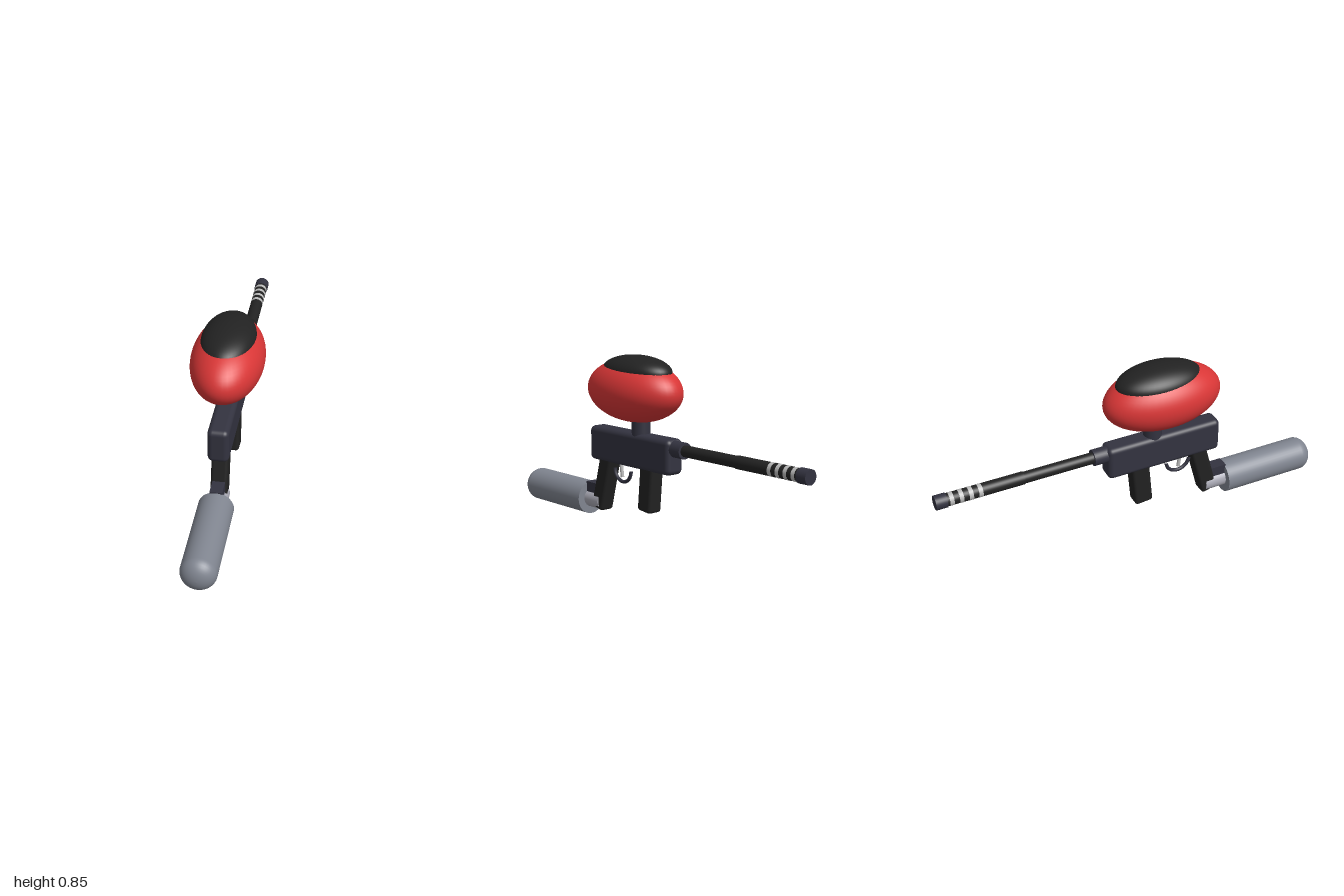
import * as THREE from 'three';
import { RoundedBoxGeometry } from 'three/addons/geometries/RoundedBoxGeometry.js';

const material = (name, color) => {
  const m = new THREE.MeshStandardMaterial({ color });
  m.name = name;
  return m;
};

export function createModel() {
  const group = new THREE.Group();
  const red = material('red', 0xd93636);
  const black = material('black', 0x222222);
  const gunmetal = material('gunmetal', 0x333340);
  const tankGrey = material('tank grey', 0x808590);
  const silver = material('silver', 0xa9a9b4);
  const lightGrey = material('light grey', 0xbcbcbc);

  const add = (name, geometry, mat, x, y, z) => {
    const mesh = new THREE.Mesh(geometry, mat);
    mesh.name = name;
    mesh.position.set(x, y, z);
    group.add(mesh);
    return mesh;
  };
  // cylinder lying along z, between two z positions
  const rod = (name, r, z0, z1, y, mat) =>
    add(name, new THREE.CylinderGeometry(r, r, Math.abs(z1 - z0), 32).rotateX(Math.PI / 2),
      mat, 0, y, (z0 + z1) / 2);
  const ellipsoid = (name, rx, ry, rz, mat, y, z) =>
    add(name, new THREE.SphereGeometry(1, 48, 32).scale(rx, ry, rz), mat, 0, y, z);
  const block = (name, w, h, d, r, mat, y, z, tilt = 0) => {
    const mesh = add(name, new RoundedBoxGeometry(w, h, d, 4, r), mat, 0, y, z);
    mesh.rotation.x = tilt;
    return mesh;
  };

  // receiver and hopper
  block('body', 0.1, 0.172, 0.6, 0.025, gunmetal, 0.389, 0.145);
  add('hopperNeck', new THREE.CylinderGeometry(0.046, 0.046, 0.12, 32), gunmetal, 0, 0.51, 0.097);
  ellipsoid('hopper', 0.17, 0.155, 0.3, red, 0.68, 0.145);
  ellipsoid('hopperLid', 0.126, 0.078, 0.218, black, 0.775, 0.127);

  // barrel with pale rings near the muzzle
  const barrelY = 0.43;
  rod('barrelCollar', 0.04, -0.14, -0.22, barrelY, gunmetal);
  rod('barrelRear', 0.028, -0.2, -0.57, barrelY, black);
  rod('barrelFront', 0.031, -0.57, -0.96, barrelY, black);
  for (let i = 0; i < 4; i++) {
    const z = -0.786 - i * 0.046;
    rod('barrelRing', 0.032, z - 0.01, z + 0.01, barrelY, lightGrey);
  }
  rod('muzzle', 0.035, -0.945, -1, barrelY, gunmetal);

  // grips
  block('rearGrip', 0.08, 0.29, 0.085, 0.016, black, 0.19, 0.371, -0.26);
  block('foreGrip', 0.08, 0.23, 0.094, 0.016, black, 0.21, 0.029, -0.09);

  // trigger and its guard
  add('triggerGuard', new THREE.TorusGeometry(0.063, 0.009, 10, 32, Math.PI).rotateZ(Math.PI)
    .rotateY(Math.PI / 2), gunmetal, 0, 0.273, 0.238);
  const trigger = add('trigger', new THREE.CylinderGeometry(0.009, 0.009, 0.085, 12), lightGrey, 0, 0.275, 0.248);
  trigger.rotation.x = 0.15;

  // air tank with domed end, and its mount
  const tankY = 0.087;
  rod('tankAdapter', 0.047, 0.385, 0.52, tankY, silver);
  add('tankMount', new THREE.BoxGeometry(0.06, 0.06, 0.1), gunmetal, 0, 0.145, 0.45);
  const profile = [new THREE.Vector2(0, 0), new THREE.Vector2(0.084, 0), new THREE.Vector2(0.084, 0),
    new THREE.Vector2(0.084, 0.44)];
  for (let i = 1; i <= 10; i++) {
    const a = (i / 10) * Math.PI / 2;
    profile.push(new THREE.Vector2(Math.max(0.084 * Math.cos(a), 0), 0.44 + 0.065 * Math.sin(a)));
  }
  // the flat front is a separate disc so the rim stays sharp
  add('airTank', new THREE.LatheGeometry(profile.slice(2), 40).rotateX(Math.PI / 2), tankGrey, 0, tankY, 0.495);
  add('tankFrontFace', new THREE.CircleGeometry(0.084, 40).rotateY(Math.PI), tankGrey, 0, tankY, 0.495);

  return group;
}
